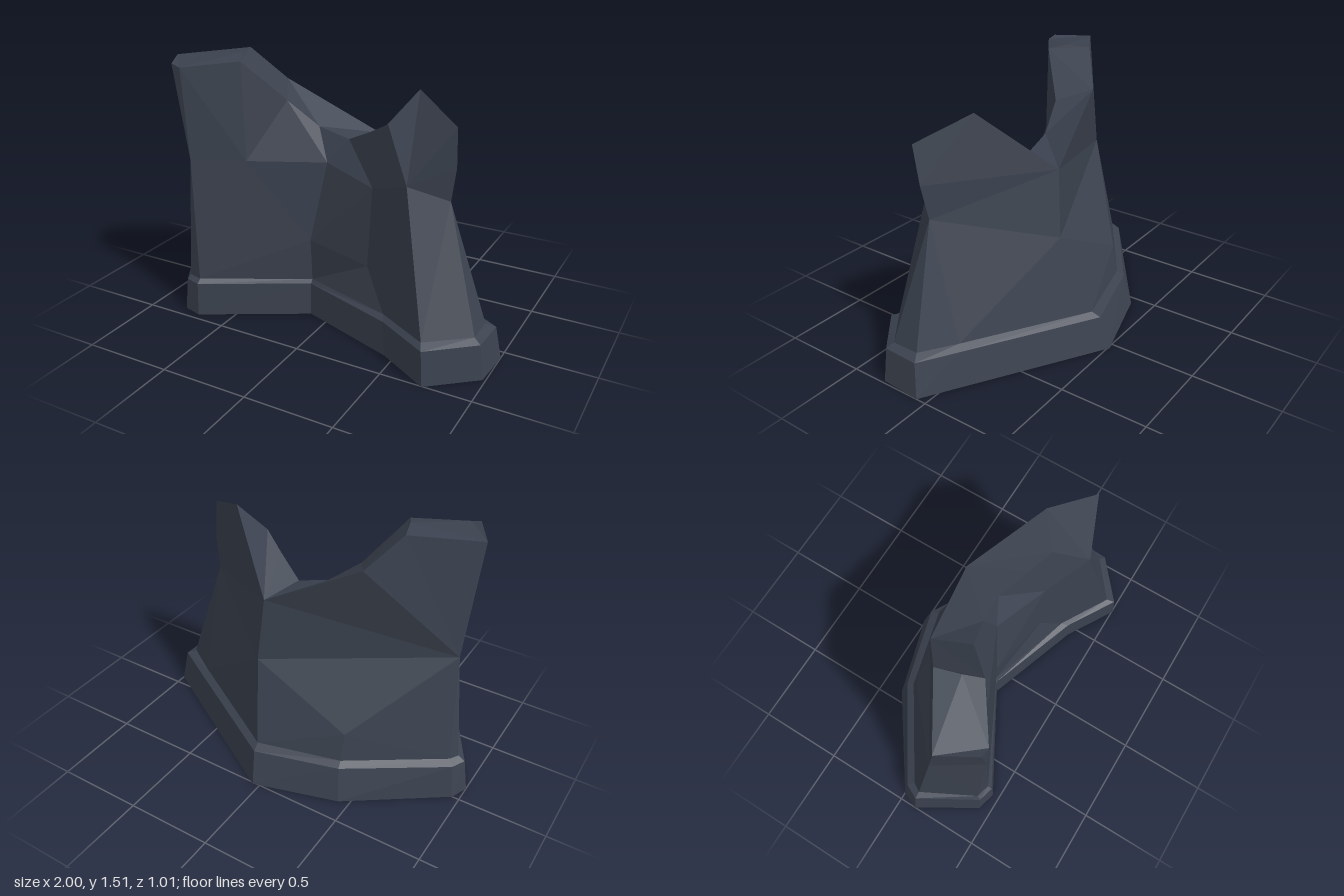
import * as THREE from 'three';

// Plan outlines [x, z] of the plinth: ground edge, upper edge, inner edge of the bevelled ledge
const ground = [[-1, 0.1], [-0.96, 0], [-0.44, -0.37], [0.04, -0.51], [0.78, -0.07], [1, 0.06],
  [0.985, 0.3], [0.735, 0.505], [0.445, 0.335], [-0.12, 0.14], [-0.69, 0.46], [-0.8, 0.43]];
const shoulder = [[-0.97, 0.1], [-0.93, 0.02], [-0.41, -0.325], [0.06, -0.455], [0.76, -0.04], [0.97, 0.085],
  [0.96, 0.295], [0.72, 0.495], [0.43, 0.325], [-0.12, 0.135], [-0.69, 0.45], [-0.78, 0.425]];
const ledge = [[-0.93, 0.1], [-0.9, 0.05], [-0.4, -0.285], [0.07, -0.405], [0.73, -0.01], [0.92, 0.115],
  [0.92, 0.275], [0.7, 0.45], [0.41, 0.285], [-0.12, 0.12], [-0.69, 0.425], [-0.77, 0.405]];

// Corners of the broken wall
const P = {
  // tall flat top
  T1: [-0.88, 1.47, 0.25], T2: [-0.77, 1.47, 0.44], T3: [-0.715, 1.455, 0.445],
  T4: [-0.455, 1.48, 0.265], T5: [-0.5, 1.508, 0.17], T6: [-0.54, 1.505, 0.04],
  // back and front rims of the break
  R1: [-0.385, 1.32, -0.09], V: [0.13, 1.045, -0.215],
  F1: [-0.28, 1.25, 0.09], F2: [-0.11, 1.115, 0.04], F3: [0.065, 1.065, 0.025],
  F4: [0.235, 1.155, 0.105], F5: [0.36, 1.23, 0.165],
  // low peak and its end
  P: [0.48, 1.4, 0.05], Q: [0.75, 1.285, 0.215], O: [0.745, 1.07, 0.185],
  N: [0.715, 0.88, 0.165], M: [0.54, 0.98, 0.32],
  // dents on the front, back and tall end
  E: [-0.7, 0.94, 0.425], G1: [-0.44, 0.93, 0.27], G2: [-0.04, 0.93, 0.08], G3: [0.29, 0.88, 0.19],
  H1: [-0.12, 0.47, 0.135], H2: [0.27, 0.43, 0.2],
  W: [0.16, 0.67, -0.25], K: [-0.4, 0.38, -0.25], L: [-0.845, 0.82, 0.16],
};
ledge.forEach(([x, z], i) => { P['r' + i] = [x, 0.218, z]; });

function facets(name, triangles, material) {
  const geometry = new THREE.BufferGeometry();
  geometry.setAttribute('position', new THREE.Float32BufferAttribute(triangles.flat(2), 3));
  geometry.computeVertexNormals();
  const mesh = new THREE.Mesh(geometry, material);
  mesh.name = name;
  return mesh;
}

// Closed band between two outlines
function band(low, y0, high, y1) {
  const out = [];
  low.forEach((p, i) => {
    const j = (i + 1) % low.length;
    const a0 = [p[0], y0, p[1]], b0 = [low[j][0], y0, low[j][1]];
    const a1 = [high[i][0], y1, high[i][1]], b1 = [high[j][0], y1, high[j][1]];
    out.push([b0, a0, a1], [b0, a1, b1]);
  });
  return out;
}

// Each row is a fan: its centre, then the corners around it
function fans(...rows) {
  return rows.flatMap((row) => {
    const [c, ...rim] = row.split(' ').map((k) => P[k]);
    return rim.slice(1).map((p, i) => [c, rim[i], p]);
  });
}

export function createModel() {
  const stone = new THREE.MeshStandardMaterial({ color: 0x3b424f });
  stone.name = 'dark slate stone';
  stone.side = THREE.DoubleSide;
  stone.flatShading = true;

  const group = new THREE.Group();
  group.name = 'ruinedWall';
  group.add(
    facets('plinth', band(ground, 0, shoulder, 0.195), stone),
    facets('plinthLedge', band(shoulder, 0.195, ledge, 0.218), stone),
    facets('wallFront', fans(
      'G1 r10 H1 G2 F1 T4 T3 E r10',
      'H1 r10 r9 H2 G3 G2',
      'G2 G3 F3 F2 F1',
      'H2 r9 r8 r7 M G3',
      'G3 M F5 F4 F3'), stone),
    facets('wallLowEnd', fans(
      'M r7 N O Q P F5',
      'N r7 r6 r5 r4 W V O',
      'O V P Q'), stone),
    facets('wallBack', fans(
      'W r4 r3 K L V',
      'K r3 r2 r1 L',
      'L T1 T6 R1 V'), stone),
    facets('wallTallEnd', fans(
      'L r1 r0 r11 E T2 T1',
      'E r11 r10',
      'E T3 T2'), stone),
    facets('brokenTop', fans(
      'T1 T2 T3',
      'T5 T6 T1 T3 T4 T6',
      'R1 T6 T4 F1 F2 V',
      'V F2 F3 F4 F5 P'), stone),
  );
  return group;
}
